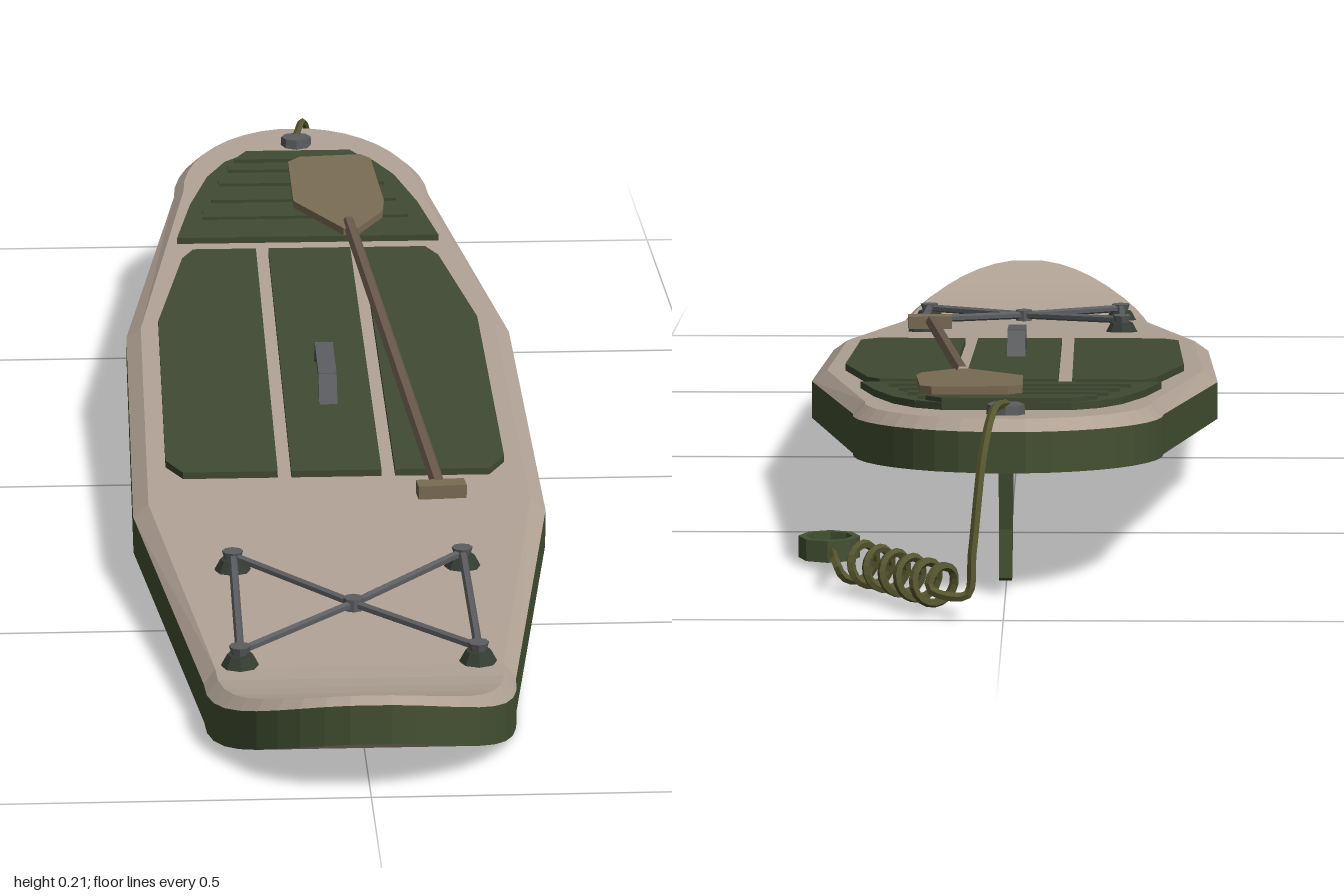
import * as THREE from 'three';

const V = (x, y, z) => new THREE.Vector3(x, y, z);
const THICK = 0.057;
// rocker: straight rise to the tail, quick upturn at the nose
const bottomY = z => (z > 0.78 ? 0.06 * ((z - 0.78) / 0.22) ** 2 : 0.083 * (0.78 - z));
const deckY = z => bottomY(z) + THICK;
const onDeck = (x, lift, z) => V(x, deckY(z) + lift, z);

const mat = (name, color) => {
  const m = new THREE.MeshStandardMaterial({ color });
  m.name = name;
  return m;
};

export function createModel() {
  const model = new THREE.Group();
  const sand = mat('sand', 0xb0a194);
  const railGreen = mat('rail green', 0x445133);
  const padGreen = mat('pad green', 0x404a32);
  const grey = mat('fitting grey', 0x5b5d60);
  const cleatGreen = mat('cleat dark', 0x353d32);
  const bladeTan = mat('blade tan', 0x7a6c54);
  const shaftBrown = mat('shaft brown', 0x6a5a4c);
  const olive = mat('leash olive', 0x55552f);

  const add = (name, geometry, material, parent = model) => {
    const g = geometry.index ? geometry.toNonIndexed() : geometry;
    g.computeVertexNormals(); // faceted
    const mesh = new THREE.Mesh(g, material);
    mesh.name = name;
    parent.add(mesh);
    return mesh;
  };
  const group = name => {
    const g = new THREE.Group();
    g.name = name;
    model.add(g);
    return g;
  };
  const quads = list => {
    const pts = list.flatMap(([a, b, c, d]) => [a, b, c, a, c, d]);
    return new THREE.BufferGeometry().setFromPoints(pts);
  };
  // flat plate from an x,z outline that follows the slope of the deck
  const plate = (outline, lift, height) => {
    const shape = new THREE.Shape(outline.map(([x, z]) => new THREE.Vector2(x, -z)));
    const g = new THREE.ExtrudeGeometry(shape, { depth: height, bevelEnabled: false });
    g.rotateX(-Math.PI / 2);
    const p = g.attributes.position;
    for (let i = 0; i < p.count; i++) p.setY(i, p.getY(i) + lift + deckY(p.getZ(i)));
    return g;
  };
  const rod = (a, b, r, sides = 6) =>
    new THREE.TubeGeometry(new THREE.LineCurve3(a, b), 1, r, sides, false);
  const mirrorX = pts => pts.map(([x, z]) => [-x, z]);

  // ---- board hull: half outline from nose to tail ----
  const half = [];
  const N = 9, END = 1.44;
  for (let i = 0; i <= N; i++) {
    const t = END * (1 - i / N);
    half.push([0.17 * Math.cos(t), 0.78 + 0.22 * Math.sin(t) / Math.sin(END)]);
  }
  half.push([0.24, 0.34], [0.24, -0.2]);
  for (let i = 0; i <= N; i++) {
    const t = END * i / N;
    half.push([0.17 * Math.cos(t), -0.68 - 0.235 * Math.sin(t) / Math.sin(END)]);
  }
  const inset = half.map(([x, z]) => [x * 0.925, 0.04 + (z - 0.04) * 0.985]);
  const ring = (pts, lift) => [...pts, ...mirrorX(pts).reverse()]
    .map(([x, z]) => V(x, bottomY(z) + lift, z));
  const low = ring(half, 0), mid = ring(half, 0.044), top = ring(inset, THICK);
  const wall = (a, b) => quads(a.map((p, i) => {
    const j = (i + 1) % a.length;
    return [p, a[j], b[j], b[i]];
  }));
  const skin = (r, up) => quads(half.slice(1).map((_, i) => {
    const last = r.length - 1;
    const q = [r[i], r[i + 1], r[last - i - 1], r[last - i]];
    return up ? q : q.reverse();
  }));
  const board = group('board');
  add('rail', wall(low, mid), railGreen, board);
  add('deckBevel', wall(mid, top), sand, board);
  add('deck', skin(top, true), sand, board);
  add('bottom', skin(low, false), sand, board);

  // ---- traction pads ----
  const pads = group('tractionPads');
  const side = [[0.069, 0.265], [0.18, 0.265], [0.2, 0.23], [0.2, -0.2], [0.165, -0.41], [0.15, -0.44], [0.069, -0.44]];
  add('sidePadLeft', plate(side, 0, 0.008), padGreen, pads);
  add('sidePadRight', plate(mirrorX(side), 0, 0.008), padGreen, pads);
  const symmetric = pts => [...pts, ...mirrorX(pts).reverse()];
  add('centrePad', plate(symmetric([[0.053, 0.265], [0.053, -0.44]]), 0, 0.008), padGreen, pads);
  add('tailPad', plate(symmetric([[0.17, -0.48], [0.15, -0.6], [0.125, -0.7], [0.1, -0.755], [0.07, -0.785]]), 0, 0.008),
    padGreen, pads);
  [[0.135, -0.555], [0.122, -0.615], [0.11, -0.675], [0.097, -0.725]].forEach(([w, z]) =>
    add('tailRidge', plate(symmetric([[w, z + 0.012], [w, z - 0.012]]), 0.008, 0.004), padGreen, pads));
  add('kickBar', plate(symmetric([[0.088, -0.75], [0.07, -0.782]]), 0.008, 0.005), padGreen, pads);

  // ---- carry handle ----
  const handle = group('carryHandle');
  const bar = [[0.065, 0.006], [0.045, 0.034], [-0.045, 0.034], [-0.07, 0.006]];
  for (let i = 0; i < 3; i++) {
    const a = onDeck(0, bar[i][1], bar[i][0]), b = onDeck(0, bar[i + 1][1], bar[i + 1][0]);
    const m = add('handleStrap', new THREE.BoxGeometry(0.022, 0.01, a.distanceTo(b) + 0.006), grey, handle);
    m.position.copy(a).add(b).multiplyScalar(0.5);
    m.lookAt(b);
  }

  // ---- bungee lacing on the nose ----
  const bungee = group('bungee');
  const centre = onDeck(0, 0.014, 0.64);
  for (const s of [1, -1]) {
    for (const z of [0.515, 0.76]) {
      const base = add('cleatBase', new THREE.CylinderGeometry(0.014, 0.021, 0.013, 8), cleatGreen, bungee);
      base.position.copy(onDeck(s * 0.13, 0.006, z));
      const knob = add('cleatKnob', new THREE.CylinderGeometry(0.012, 0.009, 0.01, 8), grey, bungee);
      knob.position.copy(onDeck(s * 0.13, 0.017, z));
      add('crossCord', rod(onDeck(s * 0.13, 0.016, z), centre, 0.005), grey, bungee);
    }
    add('sideCord', rod(onDeck(s * 0.13, 0.016, 0.515), onDeck(s * 0.13, 0.016, 0.76), 0.005), grey, bungee);
  }
  add('centreKnot', new THREE.CylinderGeometry(0.011, 0.011, 0.014, 8), grey, bungee).position.copy(centre);

  // ---- paddle lying on the deck ----
  const paddle = group('paddle');
  add('shaft', rod(onDeck(0.115, 0.023, 0.36), onDeck(0.054, 0.019, -0.5), 0.0085), shaftBrown, paddle);
  const grip = add('grip', new THREE.BoxGeometry(0.056, 0.016, 0.024), bladeTan, paddle);
  grip.position.copy(onDeck(0.117, 0.023, 0.357));
  grip.rotation.y = 0.07;
  add('blade', plate([[0.065, -0.47], [0.1, -0.53], [0.104, -0.57], [0.095, -0.725], [0.082, -0.74],
    [0.0, -0.733], [-0.016, -0.715], [-0.015, -0.57], [0.046, -0.47]], 0.013, 0.009), bladeTan, paddle);

  // ---- fin ----
  const finShape = new THREE.Shape([[0.715, 0.135], [0.76, 0.08], [0.81, 0.035], [0.845, 0.012],
    [0.862, 0.018], [0.858, 0.07], [0.87, 0.142]].map(p => new THREE.Vector2(...p)));
  const fin = new THREE.ExtrudeGeometry(finShape, { depth: 0.014, bevelEnabled: false });
  fin.translate(0, 0, -0.007).rotateY(Math.PI / 2);
  add('fin', fin, railGreen);

  // ---- leash: plug, lead, coil and ankle cuff ----
  const leash = group('leash');
  add('leashPlug', new THREE.CylinderGeometry(0.02, 0.021, 0.014, 8), grey, leash)
    .position.copy(onDeck(0, 0.004, -0.84));
  const path = [V(0, 0.203, -0.84), V(0.012, 0.205, -0.905), V(0.022, 0.165, -0.95), V(0.032, 0.07, -0.985), V(0.038, 0.025, -0.992)];
  const TURNS = 6, STEPS = 8;
  for (let i = 0; i <= TURNS * STEPS; i++) {
    const u = i / (TURNS * STEPS), a = u * TURNS * Math.PI * 2;
    const off = 0.021 * Math.cos(a);
    path.push(V(0.06 + 0.105 * u + off * 0.8, 0.031 + 0.021 * Math.sin(a), -0.977 + 0.147 * u - off * 0.6));
  }
  path.push(V(0.187, 0.022, -0.77), V(0.192, 0.016, -0.707));
  add('leashCord', new THREE.TubeGeometry(new THREE.CatmullRomCurve3(path), 160, 0.005, 5, false), olive, leash);
  const cuffProfile = [[0.034, 0], [0.034, 0.024], [0.026, 0.024], [0.026, 0], [0.034, 0]]
    .map(p => new THREE.Vector2(...p));
  add('ankleCuff', new THREE.LatheGeometry(cuffProfile, 8), railGreen, leash).position.set(0.197, 0.004, -0.672);

  return model;
}
